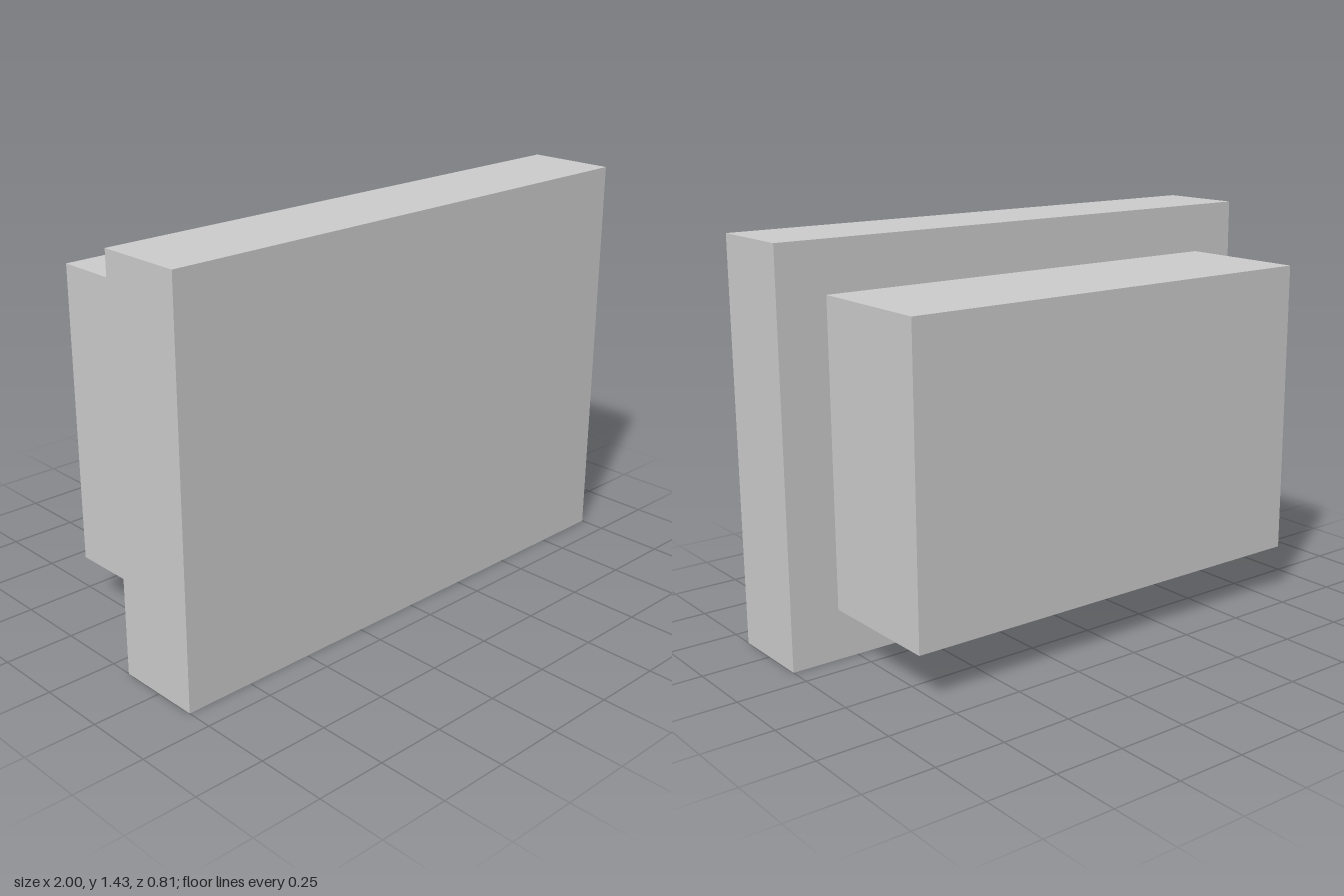
import * as THREE from 'three';

export function createModel() {
  const model = new THREE.Group();
  const grey = new THREE.MeshStandardMaterial({ color: 0xcccccc, flatShading: true });

  // Box spanning two opposite corners
  function block(name, [x0, y0, z0], [x1, y1, z1]) {
    const mesh = new THREE.Mesh(new THREE.BoxGeometry(x1 - x0, y1 - y0, z1 - z0), grey);
    mesh.position.set((x0 + x1) / 2, (y0 + y1) / 2, (z0 + z1) / 2);
    mesh.name = name;
    model.add(mesh);
  }

  // Wide front slab and the smaller housing behind it
  block('frontPanel', [-1, 0, 0.085], [1, 1.435, 0.405]);
  block('rearHousing', [-0.82, 0.18, -0.405], [0.82, 1.255, 0.085]);

  // Thin plates under the housing
  block('leftBottomPlate', [0.295, 0.15, -0.28], [0.67, 0.18, 0.07]);
  block('rightBottomPlate', [-0.605, 0.15, -0.33], [-0.115, 0.18, 0.07]);

  return model;
}
